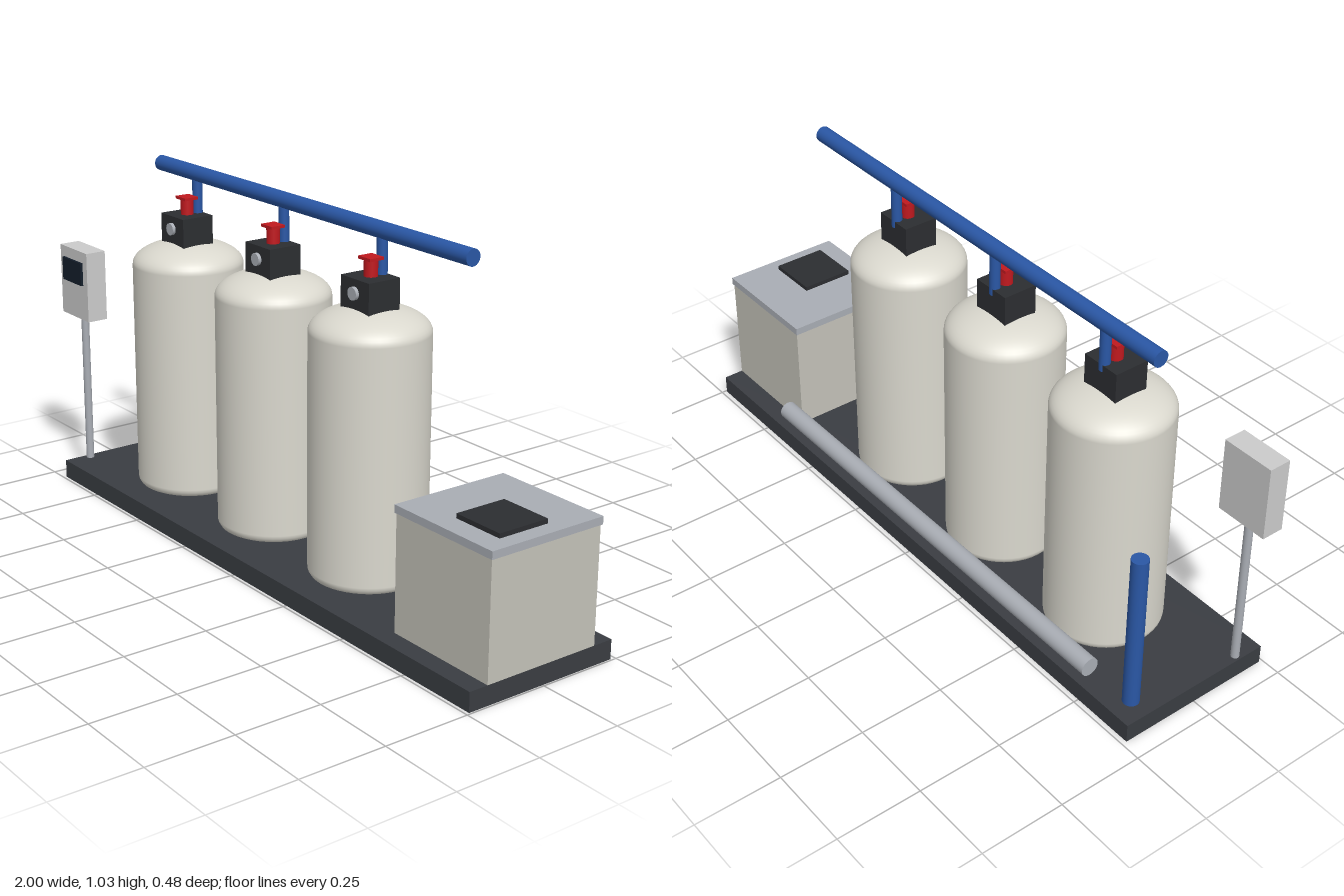
import * as THREE from 'three';

const mat = (color) => new THREE.MeshStandardMaterial({ color });

export function createModel() {
  const model = new THREE.Group();
  const frame = mat(0x3a3d42), dark = mat(0x2c2e31), shell = mat(0xdad8ce), cabinetGrey = mat(0xc4c2b9);
  const blue = mat(0x2a57a5), red = mat(0xc0191f), steel = mat(0xa9adb4), panel = mat(0xc6c8ca), glass = mat(0x141e2b);

  const add = (parent, name, geometry, material, x = 0, y = 0, z = 0) => {
    const mesh = new THREE.Mesh(geometry, material);
    mesh.name = name;
    mesh.position.set(x, y, z);
    parent.add(mesh);
    return mesh;
  };
  // Box given by its extents on each axis
  const box = (parent, name, material, [x0, x1], [y0, y1], [z0, z1]) =>
    add(parent, name, new THREE.BoxGeometry(x1 - x0, y1 - y0, z1 - z0), material,
      (x0 + x1) / 2, (y0 + y1) / 2, (z0 + z1) / 2);
  // Upright and sideways round bars
  const post = (parent, name, material, r, x, [y0, y1], z) =>
    add(parent, name, new THREE.CylinderGeometry(r, r, y1 - y0, 24), material, x, (y0 + y1) / 2, z);
  const pipe = (parent, name, material, r, [x0, x1], y, z) => {
    add(parent, name, new THREE.CylinderGeometry(r, r, x1 - x0, 24), material,
      (x0 + x1) / 2, y, z).rotation.z = Math.PI / 2;
  };

  // Skid base
  box(model, 'base', frame, [-0.94, 0.995], [0, 0.056], [-0.235, 0.24]);

  // Vessel profile: small foot radius, straight wall, elliptical dome
  const profile = [[0, 0.056], [0.148, 0.056], [0.158, 0.061], [0.164, 0.071], [0.165, 0.08]]
    .map(([r, y]) => new THREE.Vector2(r, y));
  for (let i = 0; i <= 14; i++) {
    const a = (i / 14) * Math.PI / 2;
    profile.push(new THREE.Vector2(Math.max(0, 0.165 * Math.cos(a)), 0.745 + 0.07 * Math.sin(a)));
  }
  const vesselGeometry = new THREE.LatheGeometry(profile, 48);

  // Three filter vessels with valve heads
  for (const x of [-0.57, -0.134, 0.302]) {
    const unit = new THREE.Group();
    unit.name = 'filterUnit';
    unit.position.x = x;
    model.add(unit);
    add(unit, 'vessel', vesselGeometry, shell, 0, 0, 0.003);
    box(unit, 'valveHead', dark, [-0.059, 0.059], [0.805, 0.893], [-0.047, 0.056]);
    add(unit, 'gauge', new THREE.CylinderGeometry(0.018, 0.018, 0.02, 24), steel, 0, 0.855, 0.056)
      .rotation.x = Math.PI / 2;
    post(unit, 'valveStem', red, 0.019, 0, [0.89, 0.942], 0.003);
    box(unit, 'valveCap', red, [-0.025, 0.025], [0.938, 0.946], [-0.019, 0.026]);
    post(unit, 'riser', blue, 0.015, 0, [0.873, 1.01], -0.034);
  }

  // Pipework
  pipe(model, 'headerPipe', blue, 0.023, [-0.765, 0.656], 1.01, -0.034);
  pipe(model, 'drainPipe', steel, 0.027, [-0.765, 0.656], 0.115, -0.213);
  post(model, 'inletPipe', blue, 0.023, -0.923, [0.122, 0.593], -0.213);

  // Brine cabinet with lid and hatch
  box(model, 'brineCabinet', cabinetGrey, [0.641, 0.995], [0.056, 0.386], [-0.174, 0.183]);
  box(model, 'cabinetLid', steel, [0.637, 1], [0.386, 0.408], [-0.177, 0.187]);
  box(model, 'lidHatch', dark, [0.796, 0.953], [0.408, 0.421], [-0.035, 0.122]);

  // Control panel on its post
  post(model, 'panelPost', steel, 0.012, -0.922, [0.056, 0.53], 0.161);
  box(model, 'panelBox', panel, [-1, -0.843], [0.527, 0.743], [0.129, 0.194]);
  box(model, 'panelScreen', glass, [-0.977, -0.868], [0.638, 0.709], [0.19, 0.202]);

  return model;
}
